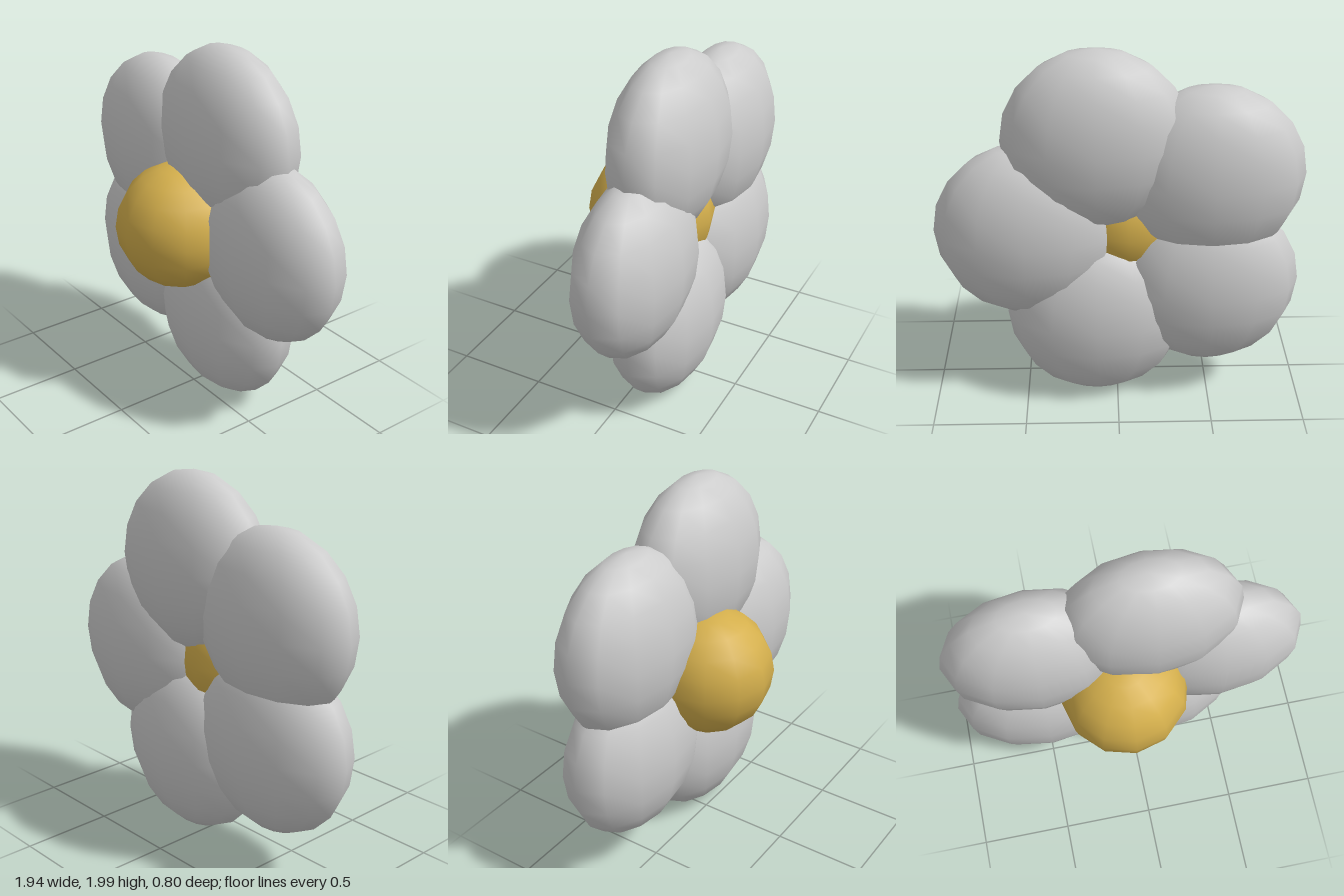
import * as THREE from 'three';

export function createModel() {
  const flower = new THREE.Group();
  flower.name = 'flower';

  const petalGrey = new THREE.MeshStandardMaterial({ color: 0xcccccc });
  petalGrey.name = 'petal grey';
  const gold = new THREE.MeshStandardMaterial({ color: 0xd4af4c });
  gold.name = 'gold';

  const cx = -0.055, cy = 1.003; // middle of the flower
  const ball = new THREE.SphereGeometry(1, 12, 10);

  function ellipsoid(name, material, x, y, z, rx, ry, rz) {
    const mesh = new THREE.Mesh(ball.clone().scale(rx, ry, rz), material);
    mesh.name = name;
    mesh.position.set(x, y, z);
    flower.add(mesh);
  }

  // Round heart, pushed forward of the petals
  ellipsoid('flowerCentre', gold, cx, cy, 0.055, 0.345, 0.345, 0.345);

  // Ring of five flattened, overlapping petals
  const count = 5, ring = 0.535;
  for (let i = 0; i < count; i++) {
    const a = (i / count) * Math.PI * 2;
    ellipsoid(`petal${i + 1}`, petalGrey,
      cx + ring * Math.cos(a), cy + ring * Math.sin(a), -0.132,
      0.487, 0.487, 0.268);
  }
  return flower;
}
